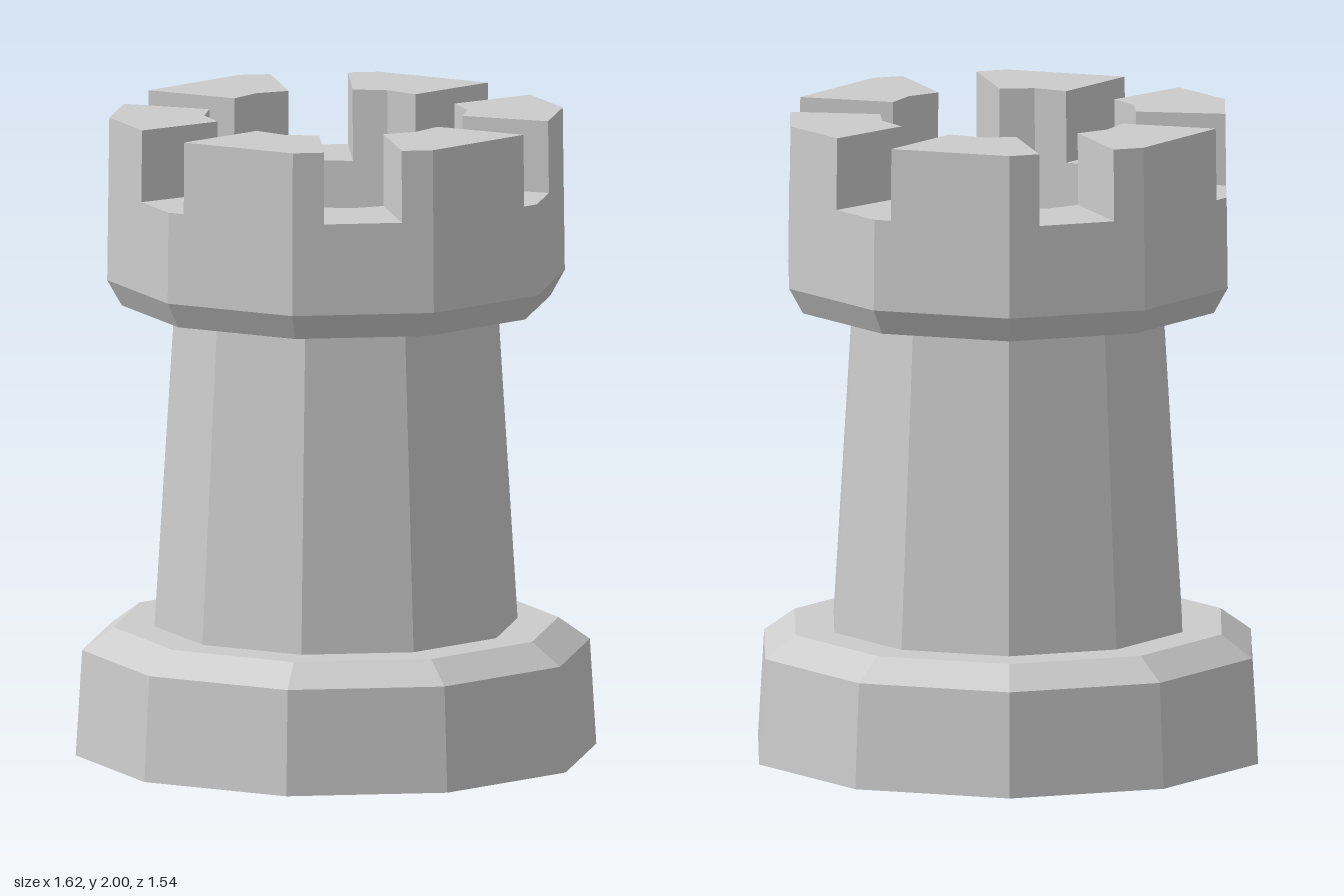
import * as THREE from 'three';

const material = new THREE.MeshStandardMaterial({ color: 0xcccccc, flatShading: true });
const DEG = Math.PI / 180;
const OUTER = 0.712, INNER = 0.413;   // crown wall radii
const CROWN = 1.49, FLOOR = 1.6, NOTCH = 1.775, TOP = 2;

// Ten-sided solid of revolution with corners on the x axis
function turned(name, profile) {
  const points = profile.map(([r, y]) => new THREE.Vector2(r, y));
  const mesh = new THREE.Mesh(new THREE.LatheGeometry(points, 10, Math.PI / 2), material);
  mesh.name = name;
  return mesh;
}

// Point at an angle on the outline of a regular polygon with a corner at angle 0
function onPolygon(sides, radius, degrees) {
  const step = 360 / sides;
  const local = ((degrees % step) + step) % step - step / 2;
  const r = radius * Math.cos(step / 2 * DEG) / Math.cos(local * DEG);
  return new THREE.Vector2(r * Math.cos(degrees * DEG), r * Math.sin(degrees * DEG));
}

// Polygon outline between two angles, including the corners in between
function arc(sides, radius, from, to) {
  const step = 360 / sides, points = [onPolygon(sides, radius, from)];
  for (let k = Math.floor(from / step) + 1; k * step < to - 0.01; k++) {
    points.push(onPolygon(sides, radius, k * step));
  }
  points.push(onPolygon(sides, radius, to));
  return points;
}

// Upright extrusion that narrows slightly towards the top
function upright(name, shape, bottom, top) {
  const geometry = new THREE.ExtrudeGeometry(shape, { depth: top - bottom, bevelEnabled: false });
  geometry.rotateX(-Math.PI / 2).translate(0, bottom, 0);
  const p = geometry.attributes.position;
  for (let i = 0; i < p.count; i++) {
    const s = 1 - 0.018 * (p.getY(i) - CROWN);
    p.setXYZ(i, p.getX(i) * s, p.getY(i), p.getZ(i) * s);
  }
  geometry.computeVertexNormals();
  const mesh = new THREE.Mesh(geometry, material);
  mesh.name = name;
  return mesh;
}

export function createModel() {
  const tower = new THREE.Group();
  tower.name = 'rook';

  // Foot with chamfered rim, tapering shaft, flared crown with the sunken floor
  tower.add(turned('base', [[0, 0], [0.81, 0], [0.79, 0.33], [0.692, 0.4], [0, 0.4]]));
  tower.add(turned('shaft', [[0.565, 0.4], [0.504, 1.385]]));
  tower.add(turned('crown', [[0, 1.385], [0.504, 1.385], [0.667, 1.41], [OUTER, CROWN],
    [OUTER * 0.998, FLOOR], [0, FLOOR]]));

  // Wall around the sunken floor: ten sides outside, twelve inside
  const ring = new THREE.Shape(arc(10, OUTER, 0, 360).slice(0, -1));
  ring.holes.push(new THREE.Path(arc(12, INNER, 0, 360).slice(0, -1).reverse()));
  tower.add(upright('parapetWall', ring, FLOOR, NOTCH));

  // Six battlements separated by slightly flared notches
  const battlements = new THREE.Group();
  battlements.name = 'battlements';
  for (let i = 0; i < 6; i++) {
    const mid = i * 60;
    const outline = [
      ...arc(10, OUTER, mid - 19.8, mid + 19.8),
      ...arc(12, INNER, mid - 15.4, mid + 15.4).reverse(),
    ];
    battlements.add(upright('battlement', new THREE.Shape(outline), NOTCH, TOP));
  }
  tower.add(battlements);
  return tower;
}
